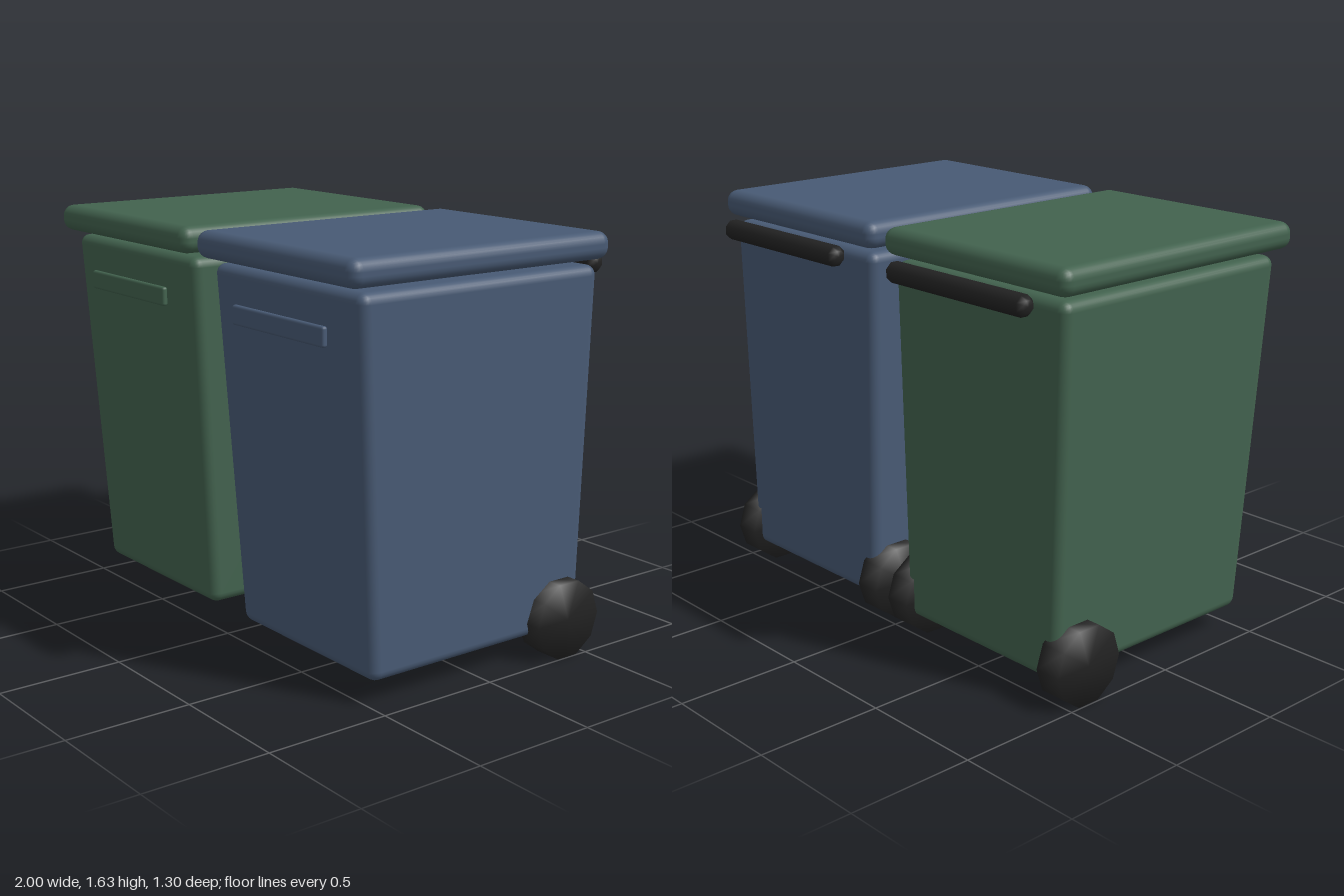
import * as THREE from 'three';
import { RoundedBoxGeometry } from 'three/addons/geometries/RoundedBoxGeometry.js';

const lerp = THREE.MathUtils.lerp;

function addMesh(parent, name, geometry, material, x, y, z) {
  const mesh = new THREE.Mesh(geometry, material);
  mesh.name = name;
  mesh.position.set(x, y, z);
  parent.add(mesh);
  return mesh;
}

// Rounded box narrowing towards the bottom, with the front leaning more than the back
function taperedBody() {
  const bottom = 0.09, top = 1.51;
  const g = new RoundedBoxGeometry(2, top - bottom, 2, 3, 0.04);
  const p = g.attributes.position;
  const r = 0.04;
  // Keep the corner radius constant while the flat core is resized per height
  const fit = (v, lo, hi) => {
    const core = THREE.MathUtils.clamp(v, -1 + r, 1 - r);
    const t = (core / (1 - r) + 1) / 2;
    return lerp(lo + r, hi - r, t) + (v - core);
  };
  for (let i = 0; i < p.count; i++) {
    const y = p.getY(i) + (top + bottom) / 2;
    const t = (y - bottom) / (top - bottom);
    const half = lerp(0.412, 0.452, t);
    p.setXYZ(i, fit(p.getX(i), -half, half), y,
      fit(p.getZ(i), lerp(-0.522, -0.53, t), lerp(0.497, 0.587, t)));
  }
  return g;
}

// Low-sided solid turned around the x axis
function turned(profile, sides, phase = 0) {
  const points = profile.map(([r, y]) => new THREE.Vector2(r, y));
  return new THREE.LatheGeometry(points, sides, phase).rotateZ(Math.PI / 2);
}

function makeBin(name, color) {
  const bin = new THREE.Group();
  bin.name = name;
  const shell = new THREE.MeshStandardMaterial({ color });
  const rubber = new THREE.MeshStandardMaterial({ color: 0x222222 });

  addMesh(bin, 'body', taperedBody(), shell, 0, 0, 0);
  addMesh(bin, 'lid', new RoundedBoxGeometry(0.965, 0.105, 1.215, 3, 0.045), shell, 0, 1.582, 0.043);
  addMesh(bin, 'frontGrip', new RoundedBoxGeometry(0.555, 0.075, 0.024, 2, 0.01), shell, 0, 1.342, 0.608);

  // Octagonal push bar with chamfered ends
  const bar = turned([[0, -0.362], [0.024, -0.362], [0.041, -0.342],
    [0.041, 0.342], [0.024, 0.362], [0, 0.362]], 8, Math.PI / 8);
  addMesh(bin, 'rearHandle', bar, rubber, 0, 1.497, -0.614);

  // Ten-sided wheels
  const wheel = turned([[0, -0.055], [0.157, -0.055], [0.157, 0.055], [0, 0.055]], 10);
  for (const side of [-1, 1]) {
    addMesh(bin, side > 0 ? 'leftWheel' : 'rightWheel', wheel, rubber, side * 0.422, 0.15, -0.408);
  }
  return bin;
}

export function createModel() {
  const model = new THREE.Group();
  model.name = 'wheeledBins';
  const green = makeBin('greenBin', 0x42624e);
  const blue = makeBin('blueBin', 0x485a74);
  green.position.x = -0.516;
  blue.position.x = 0.516;
  model.add(green, blue);
  return model;
}
